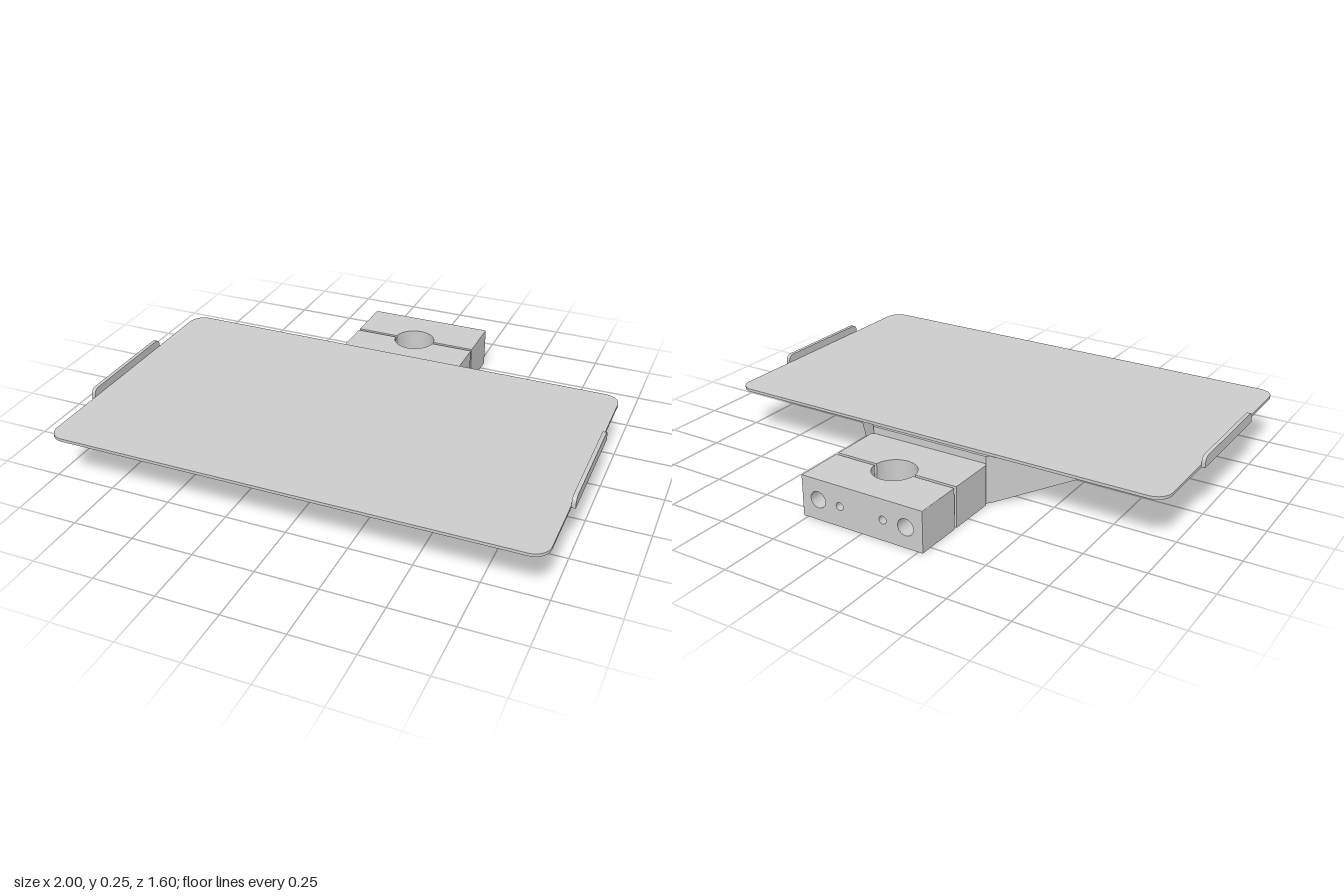
import * as THREE from 'three';
import { toCreasedNormals } from 'three/addons/utils/BufferGeometryUtils.js';

const grey = new THREE.MeshStandardMaterial({ color: 0xcccccc });

function part(name, geometry, parent) {
  const mesh = new THREE.Mesh(geometry, grey);
  mesh.name = name;
  parent.add(mesh);
  return mesh;
}

function extrude(shape, depth) {
  const geo = new THREE.ExtrudeGeometry(shape, { depth, bevelEnabled: false, curveSegments: 24 });
  return toCreasedNormals(geo, 0.5);
}

// Extrudes an (x, z) outline vertically from yBottom to yTop
function slab(shape, yBottom, yTop) {
  return extrude(shape, yTop - yBottom).rotateX(Math.PI / 2).translate(0, yTop, 0);
}

function roundedRect(x0, y0, x1, y1, r) {
  const s = new THREE.Shape();
  s.absarc(x1 - r, y1 - r, r, 0, Math.PI / 2);
  s.absarc(x0 + r, y1 - r, r, Math.PI / 2, Math.PI);
  s.absarc(x0 + r, y0 + r, r, Math.PI, Math.PI * 1.5);
  s.absarc(x1 - r, y0 + r, r, Math.PI * 1.5, Math.PI * 2);
  s.closePath();
  return s;
}

// Half of the split clamp, with half of the round bore cut into its inner side
function clampHalf(zSplit, zEnd, chamfer) {
  const w = 0.27, r = 0.088, zBore = -0.587;
  const dir = Math.sign(zEnd - zSplit);
  const a = Math.asin((zSplit - zBore) / r);
  const s = new THREE.Shape();
  s.moveTo(-w, zSplit);
  s.lineTo(-w, zEnd - dir * chamfer);
  if (chamfer) s.lineTo(-w + chamfer, zEnd);
  s.lineTo(w - chamfer, zEnd);
  if (chamfer) s.lineTo(w, zEnd - dir * chamfer);
  s.lineTo(w, zSplit);
  s.absarc(0, zBore, r, a, dir * Math.PI - a, dir < 0);
  s.closePath();
  return slab(s, 0, 0.17);
}

export function createModel() {
  const model = new THREE.Group();
  model.name = 'clampOnTray';

  // Flat tray with rounded corners
  part('trayPlate', slab(roundedRect(-0.985, -0.35, 0.985, 0.8, 0.065), 0.2, 0.212), model);

  // Upturned lips on both sides
  const lip = new THREE.Shape();
  lip.moveTo(-0.247, 0.2);
  lip.lineTo(0.247, 0.2);
  lip.absarc(0.222, 0.22, 0.025, 0, Math.PI / 2);
  lip.absarc(-0.222, 0.22, 0.025, Math.PI / 2, Math.PI);
  lip.closePath();
  for (const side of [1, -1]) {
    const mesh = part(side > 0 ? 'leftLip' : 'rightLip',
      extrude(lip, 0.016).translate(0, 0, -0.008).rotateY(Math.PI / 2), model);
    mesh.position.set(side * 0.992, 0, 0.2275);
  }

  // Bent sheet bracket: back plate and two tapering wings
  const bracket = new THREE.Group();
  bracket.name = 'bracket';
  model.add(bracket);
  part('bracketBack', new THREE.BoxGeometry(0.524, 0.2, 0.02).translate(0, 0.1, -0.352), bracket);
  const wing = new THREE.Shape();
  wing.moveTo(0, 0);
  wing.lineTo(0.02, 0);
  wing.lineTo(0.835, 0.142);
  wing.quadraticCurveTo(0.875, 0.15, 0.875, 0.185);
  wing.lineTo(0.875, 0.2);
  wing.lineTo(0, 0.2);
  wing.closePath();
  for (const side of [1, -1]) {
    const mesh = part(side > 0 ? 'leftWing' : 'rightWing',
      extrude(wing, 0.02).translate(0, 0, side > 0 ? 0 : -0.02), bracket);
    mesh.position.set(side * 0.262, 0, -0.362);
    mesh.rotation.y = side > 0 ? -Math.PI / 4 : -Math.PI * 0.75;
  }

  // Screw heads with round sockets on the bracket
  const headProfile = [[0, 0.002], [0.016, 0.002], [0.016, 0.01], [0.023, 0.01], [0.029, 0.005], [0.029, 0]]
    .map(([r, y]) => new THREE.Vector2(r, y)).reverse();
  for (const side of [1, -1]) {
    const head = toCreasedNormals(new THREE.LatheGeometry(headProfile, 24), 0.5).rotateX(Math.PI / 2);
    part(side > 0 ? 'leftScrew' : 'rightScrew', head, bracket).position.set(side * 0.097, 0.086, -0.342);
  }

  // Split shaft clamp
  const clamp = new THREE.Group();
  clamp.name = 'clamp';
  model.add(clamp);
  part('clampFront', clampHalf(-0.58, -0.362, 0.01), clamp);
  part('clampRear', clampHalf(-0.594, -0.69, 0), clamp);

  // Rear face of the clamp with bolt and screw holes
  const face = roundedRect(-0.27, 0, 0.27, 0.17, 0.002);
  for (const [x, r] of [[-0.197, 0.034], [-0.097, 0.016], [0.097, 0.016], [0.197, 0.034]]) {
    face.holes.push(new THREE.Path().absarc(x, 0.085, r, 0, Math.PI * 2));
  }
  part('clampRearFace', extrude(face, 0.11).translate(0, 0, -0.8), clamp);

  return model;
}
